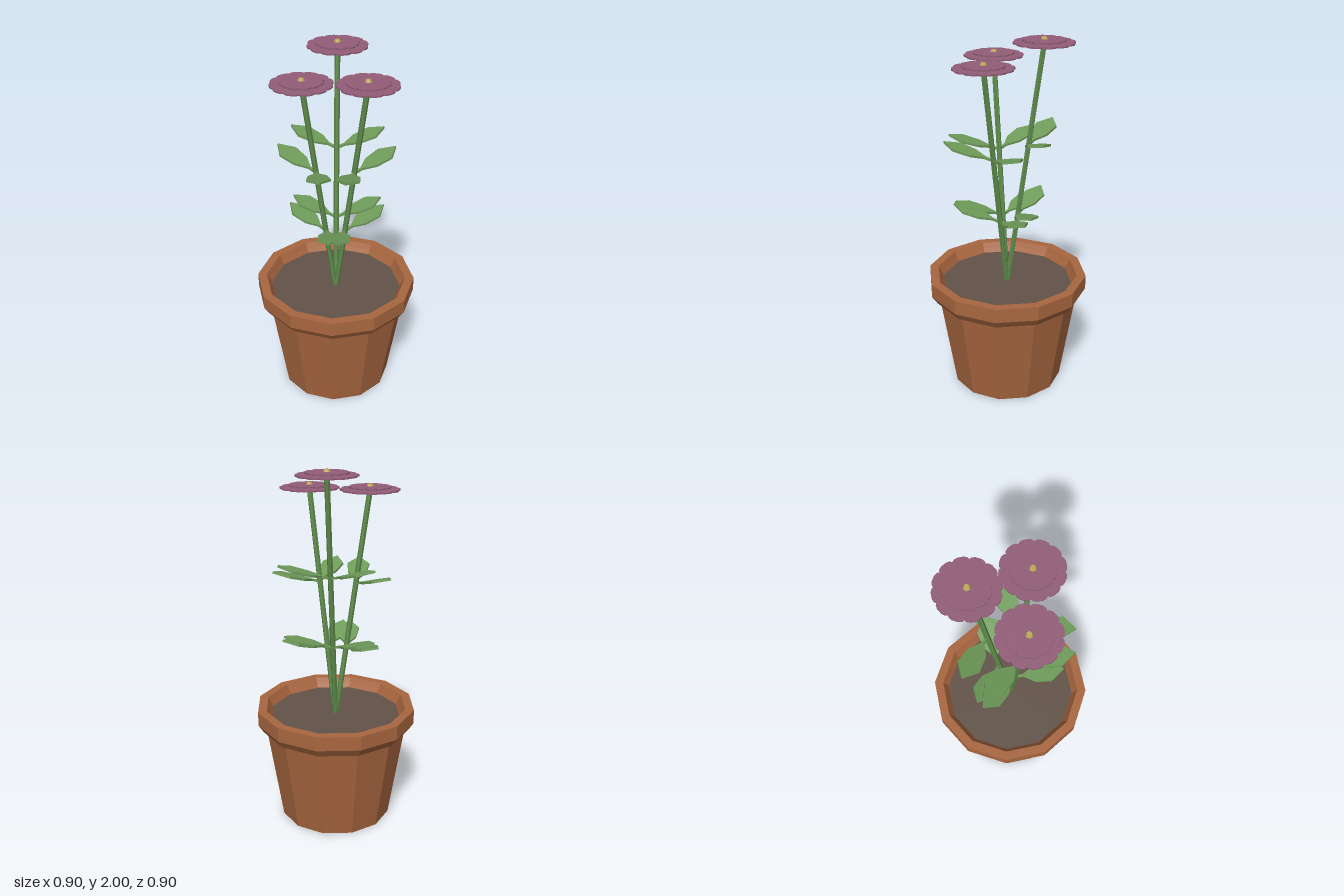
import * as THREE from 'three';

const flat = (name, color) => new THREE.MeshStandardMaterial({ name, color, flatShading: true });

export function createModel() {
  const terracotta = flat('terracotta', 0xa8663f);
  const soilBrown = flat('soilBrown', 0x625348);
  const stemGreen = flat('stemGreen', 0x5f8c4c);
  const leafGreen = flat('leafGreen', 0x6f9c5a);
  const petalMauve = flat('petalMauve', 0x925e78);
  const centreYellow = flat('centreYellow', 0xbfa95a);

  const model = new THREE.Group();
  model.name = 'pottedFlowers';
  const add = (parent, name, geometry, material) => {
    const mesh = new THREE.Mesh(geometry, material);
    mesh.name = name;
    parent.add(mesh);
    return mesh;
  };

  // Twelve-sided pot with an overhanging rim and an inner wall
  const potProfile = [
    [0, 0], [0.315, 0], [0.32, 0.03], [0.4, 0.54], [0.42, 0.54], [0.45, 0.585],
    [0.45, 0.665], [0.4, 0.665], [0.385, 0.635], [0.365, 0.6],
  ].map(([r, y]) => new THREE.Vector2(r, y));
  add(model, 'pot', new THREE.LatheGeometry(potProfile, 12), terracotta);

  // Soil surface
  add(model, 'soil', new THREE.CylinderGeometry(0.37, 0.37, 0.02, 12), soilBrown).position.y = 0.6;

  // Flat rosette with rounded petals, lying in the xz plane
  const rosette = (radius, petals, thickness) => {
    const shape = new THREE.Shape();
    const at = (r, a) => [r * Math.cos(a), r * Math.sin(a)];
    const step = (2 * Math.PI) / petals;
    shape.moveTo(...at(radius * 0.92, 0));
    for (let i = 0; i < petals; i++) {
      const a = i * step;
      shape.lineTo(...at(radius * 0.975, a + step * 0.12));
      shape.lineTo(...at(radius, a + step * 0.33));
      shape.lineTo(...at(radius, a + step * 0.67));
      shape.lineTo(...at(radius * 0.975, a + step * 0.88));
      if (i < petals - 1) shape.lineTo(...at(radius * 0.92, a + step));
    }
    shape.closePath();
    return new THREE.ExtrudeGeometry(shape, { depth: thickness, bevelEnabled: false })
      .rotateX(-Math.PI / 2);
  };
  const outerPetals = rosette(0.16, 12, 0.008);
  const innerPetals = rosette(0.113, 12, 0.008);
  const centre = new THREE.CylinderGeometry(0.013, 0.022, 0.018, 6);

  // Leaf: narrow stalk, broad blade, pointed tip; grows along +x
  const half = [[0, 0.007], [0.05, 0.008], [0.115, 0.05], [0.21, 0.062]];
  const outline = [...half.map(([x, w]) => [x, -w]), [0.288, 0],
    ...half.slice().reverse()].map(([x, y]) => new THREE.Vector2(x, y));
  const leafGeometry = new THREE.ExtrudeGeometry(new THREE.Shape(outline),
    { depth: 0.012, bevelEnabled: false })
    .rotateX(-Math.PI / 2).translate(0, -0.006, 0).rotateZ(0.28);

  // Three leaning flowers; the rear left one is taller
  const up = new THREE.Vector3(0, 1, 0);
  const base = new THREE.Vector3(0, 0.58, 0);
  [1.862, 1.967, 1.862].forEach((headY, i) => {
    const flower = new THREE.Group();
    flower.name = 'flower' + (i + 1);
    model.add(flower);
    const angle = (i * 2 * Math.PI) / 3;
    const top = new THREE.Vector3(0.19 * Math.cos(angle), headY, -0.19 * Math.sin(angle));

    // Stem
    const along = top.clone().sub(base);
    const stem = add(flower, 'stem',
      new THREE.CylinderGeometry(0.015, 0.015, along.length(), 6), stemGreen);
    stem.position.copy(base).addScaledVector(along, 0.5);
    stem.quaternion.setFromUnitVectors(up, along.clone().normalize());

    // Flower head
    const head = new THREE.Group();
    head.name = 'flowerHead';
    head.position.copy(top);
    head.rotation.y = angle;
    flower.add(head);
    add(head, 'outerPetals', outerPetals, petalMauve);
    add(head, 'innerPetals', innerPetals, petalMauve).position.y = 0.013;
    add(head, 'flowerCentre', centre, centreYellow).position.y = 0.024;

    // Two tiers of paired leaves
    for (const [t, size] of [[0.32, 0.97], [0.61, 1]]) {
      for (const side of [-1, 1]) {
        const leaf = add(flower, 'leaf', leafGeometry, leafGreen);
        leaf.position.copy(base).addScaledVector(along, t);
        leaf.rotation.y = angle + side * 1.18;
        leaf.scale.setScalar(size);
      }
    }
  });

  return model;
}
